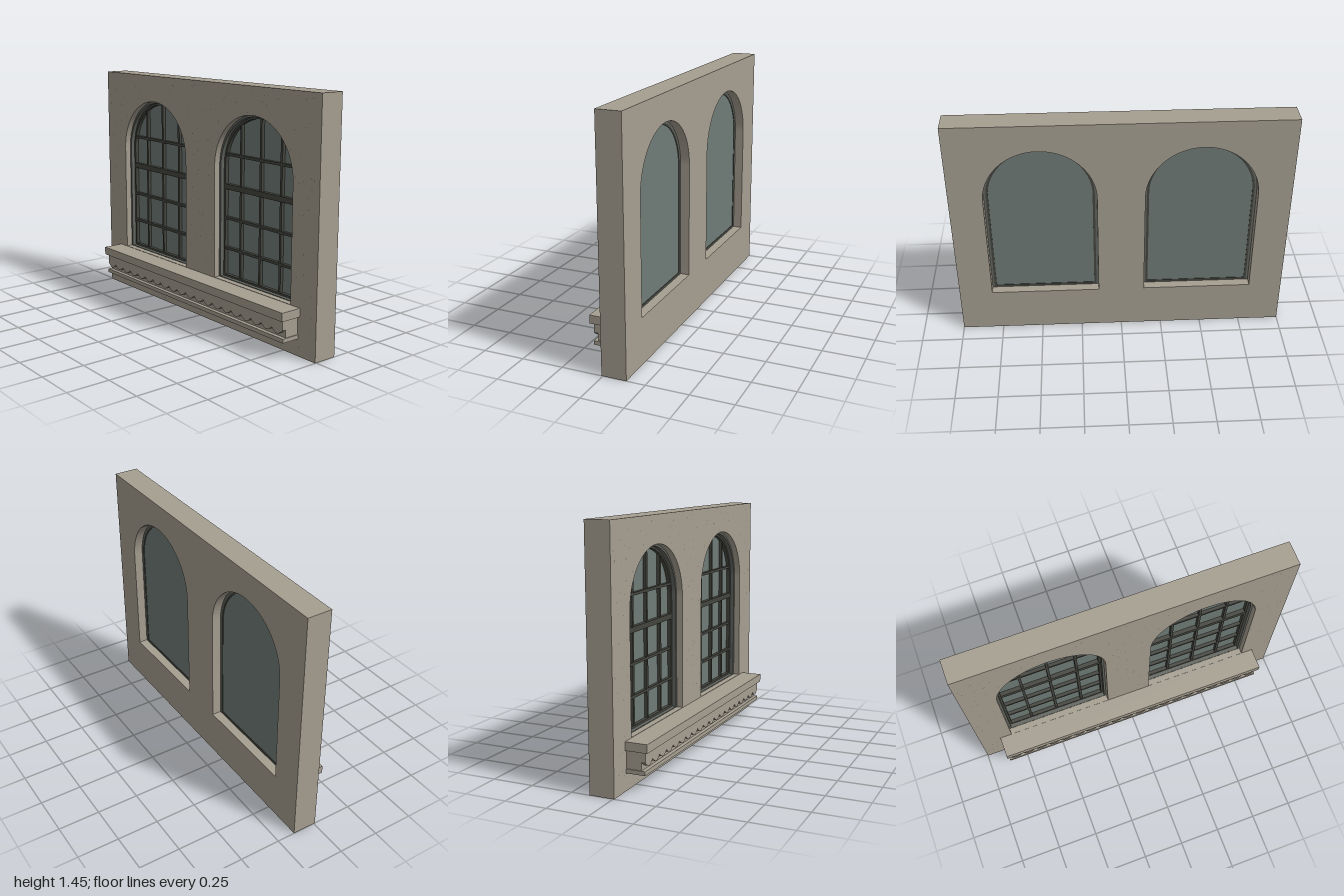
import * as THREE from 'three';
import { mergeGeometries, toCreasedNormals } from 'three/addons/utils/BufferGeometryUtils.js';

const stone = new THREE.MeshStandardMaterial({ color: 0xa69f91 });
stone.name = 'stone';
const fleck = new THREE.MeshStandardMaterial({ color: 0x77756c });
fleck.name = 'fleck';
const casingPaint = new THREE.MeshStandardMaterial({ color: 0x62655f });
casingPaint.name = 'casing paint';
const sashPaint = new THREE.MeshStandardMaterial({ color: 0x45453f });
sashPaint.name = 'sash paint';
const glassTint = new THREE.MeshStandardMaterial({ color: 0x6f7b77 });
glassTint.name = 'glass tint';

const WALL_H = 1.453, FRONT = 0.008, BACK = -0.14;
const WIN_X = 0.47, HALF = 0.33, BOTTOM = 0.28, SPRING = 0.96;

// Round-headed outline, inset from the opening by a margin
function arch(path, cx, inset, bottomInset = inset) {
  const r = HALF - inset;
  path.moveTo(cx - r, BOTTOM + bottomInset);
  path.lineTo(cx + r, BOTTOM + bottomInset);
  path.lineTo(cx + r, SPRING);
  path.absarc(cx, SPRING, r, 0, Math.PI, false);
  path.closePath();
  return path;
}

function extrude(shape, z0, z1) {
  const g = new THREE.ExtrudeGeometry(shape, { depth: z1 - z0, bevelEnabled: false, curveSegments: 32 });
  return toCreasedNormals(g.translate(0, 0, z0), 0.5);
}

function box(x0, x1, y0, y1, z0, z1) {
  return new THREE.BoxGeometry(x1 - x0, y1 - y0, z1 - z0)
    .translate((x0 + x1) / 2, (y0 + y1) / 2, (z0 + z1) / 2);
}

function add(parent, name, geometry, material) {
  const mesh = new THREE.Mesh(geometry, material);
  mesh.name = name;
  parent.add(mesh);
  return mesh;
}

function archRing(outer, inner, outerBottom, innerBottom, z0, z1) {
  const s = arch(new THREE.Shape(), 0, outer, outerBottom);
  s.holes.push(arch(new THREE.Path(), 0, inner, innerBottom));
  return extrude(s, z0, z1);
}

function makeWindow(cx) {
  const win = new THREE.Group();
  win.name = 'window';
  win.position.x = cx;
  add(win, 'casing', archRing(0, 0.013, 0, 0.004, -0.085, -0.03), casingPaint);
  add(win, 'sash', archRing(0.013, 0.026, 0.004, 0.016, -0.085, -0.055), sashPaint);
  add(win, 'glass', extrude(arch(new THREE.Shape(), 0, 0.02, 0.01), -0.082, -0.077), glassTint);

  // Glazing bars stop against the curved head
  const r = HALF - 0.02, bars = [];
  for (const x of [-0.17, 0, 0.17]) {
    bars.push(box(x - 0.008, x + 0.008, BOTTOM + 0.01, SPRING + Math.sqrt(r * r - x * x), -0.078, -0.058));
  }
  for (const [y, h] of [[0.46, 0.008], [0.645, 0.008], [0.837, 0.016], [1.03, 0.008]]) {
    const up = Math.max(0, y - SPRING), w = Math.sqrt(r * r - up * up);
    bars.push(box(-w, w, y - h, y + h, -0.078, h > 0.01 ? -0.052 : -0.057));
  }
  add(win, 'glazingBars', mergeGeometries(bars), sashPaint);
  return win;
}

// Fringe with a row of rounded lobes along its lower edge
function scallopedFringe(half, top, cusp, drop, count) {
  const s = new THREE.Shape(), step = 2 * half / count, seg = 8;
  s.moveTo(half, top);
  s.lineTo(-half, top);
  for (let i = 0; i < count; i++) {
    for (let k = 0; k < seg; k++) {
      s.lineTo(-half + (i + k / seg) * step, cusp - drop * Math.sin(Math.PI * k / seg));
    }
  }
  s.lineTo(half, cusp);
  s.closePath();
  return extrude(s, 0.097, 0.122);
}

// Small chips scattered over the wall face, clear of windows and sill
function fleckGeometry() {
  let seed = 11;
  const rnd = () => (seed = (seed * 16807) % 2147483647) / 2147483647;
  const chips = [];
  while (chips.length < 200) {
    const x = rnd() * 1.96 - 0.98, y = rnd() * 1.41 + 0.02, radius = 0.002 + rnd() * 0.003;
    const dx = Math.abs(Math.abs(x) - WIN_X), dy = Math.max(0, y - SPRING);
    const inWindow = y > BOTTOM - 0.01 && Math.hypot(dx, dy) < HALF + 0.01;
    const behindSill = Math.abs(x) < 0.88 && y > 0.095 && y < 0.285;
    if (inWindow || behindSill) continue;
    chips.push(new THREE.CircleGeometry(radius, 6).translate(x, y, FRONT + 0.002));
  }
  return mergeGeometries(chips);
}

export function createModel() {
  const model = new THREE.Group();
  model.name = 'wallWithArchedWindows';

  // Wall slab pierced by two openings
  const face = new THREE.Shape([
    new THREE.Vector2(-1, 0), new THREE.Vector2(1, 0),
    new THREE.Vector2(1, WALL_H), new THREE.Vector2(-1, WALL_H),
  ]);
  for (const side of [-1, 1]) face.holes.push(arch(new THREE.Path(), side * WIN_X, 0));
  add(model, 'wall', extrude(face, BACK, FRONT), stone);
  add(model, 'wallFlecks', fleckGeometry(), fleck);

  for (const side of [-1, 1]) model.add(makeWindow(side * WIN_X));

  // Shared sill with fringe and base moulding
  const sill = new THREE.Group();
  sill.name = 'sill';
  add(sill, 'sillSlab', box(-0.875, 0.875, 0.228, 0.278, FRONT, 0.14), stone);
  add(sill, 'sillBody', box(-0.86, 0.86, 0.122, 0.23, FRONT, 0.098), stone);
  add(sill, 'sillFringe', scallopedFringe(0.86, 0.229, 0.17, 0.026, 20), stone);
  add(sill, 'sillBase', box(-0.866, 0.866, 0.1, 0.124, FRONT, 0.122), stone);
  model.add(sill);
  return model;
}
